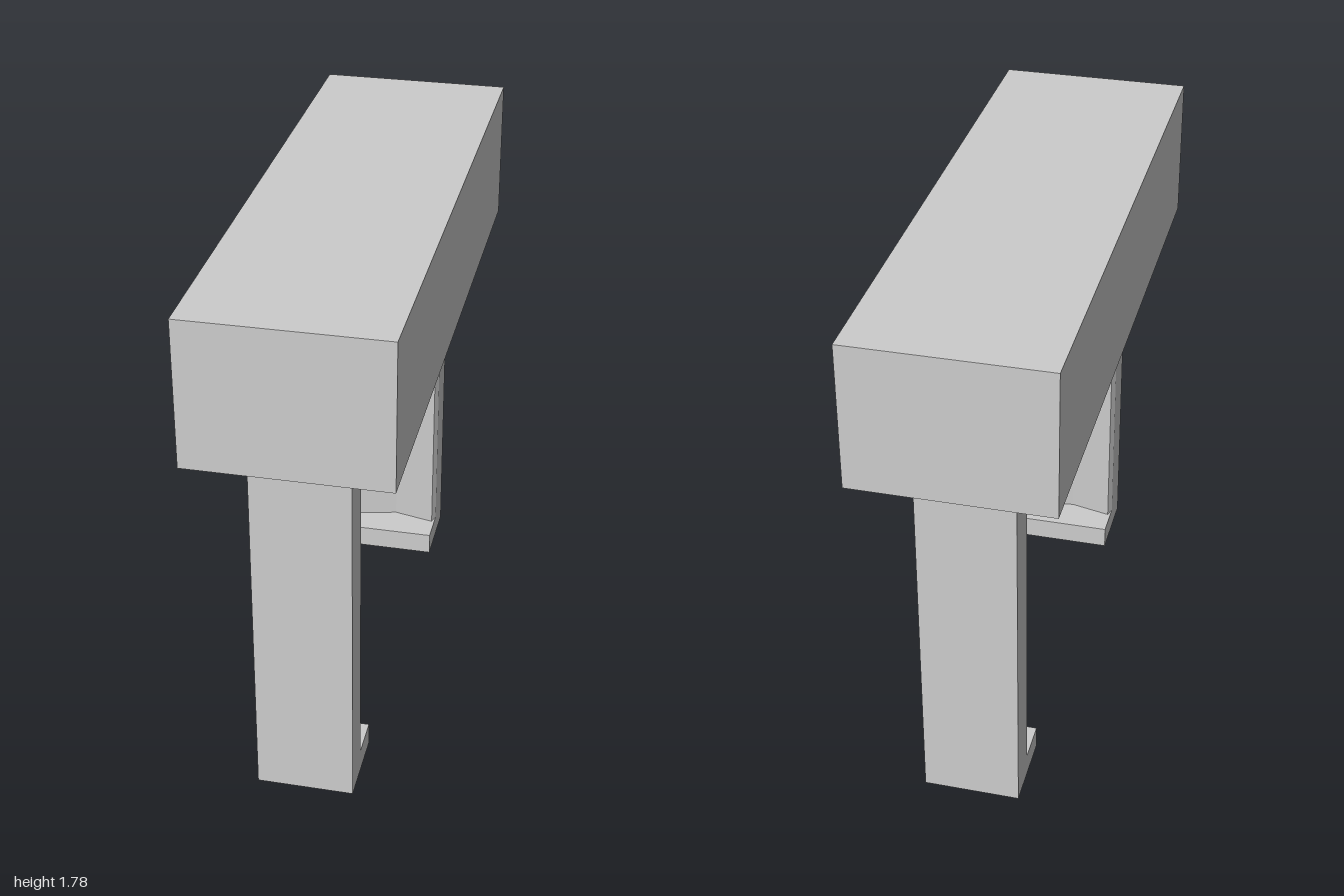
import * as THREE from 'three';

const material = new THREE.MeshStandardMaterial({ color: 0xcccccc, flatShading: true });

function box(name, w, h, d, x, y, z) {
  const mesh = new THREE.Mesh(new THREE.BoxGeometry(w, h, d), material);
  mesh.name = name;
  mesh.position.set(x, y, z);
  return mesh;
}

// Back leg: a post with a shallow V groove and chamfered corners on its inner face, on a foot
function createLeg(name) {
  const leg = new THREE.Group();
  leg.name = name;
  const footHeight = 0.08, top = 1.295;

  const section = new THREE.Shape([
    [-0.16, 0.84], [-0.16, 0.715], [-0.15, 0.68], [0, 0.715],
    [0.15, 0.68], [0.16, 0.715], [0.16, 0.84],
  ].map(([x, y]) => new THREE.Vector2(x, y)));
  const geometry = new THREE.ExtrudeGeometry(section, { depth: top - footHeight, bevelEnabled: false });
  geometry.rotateX(-Math.PI / 2);
  geometry.translate(0, footHeight, 0);
  const post = new THREE.Mesh(geometry, material);
  post.name = 'post';

  // The foot sticks out towards the middle
  leg.add(post, box('foot', 0.32, footHeight, 0.26, 0, footHeight / 2, -0.71));
  return leg;
}

export function createModel() {
  const model = new THREE.Group();
  model.name = 'beamOnLegs';

  model.add(box('beam', 0.645, 0.485, 2, 0, 1.5375, 0));

  // The front leg is the back leg turned half way round
  const frontLeg = createLeg('frontLeg');
  frontLeg.rotation.y = Math.PI;
  model.add(createLeg('backLeg'), frontLeg);

  return model;
}
